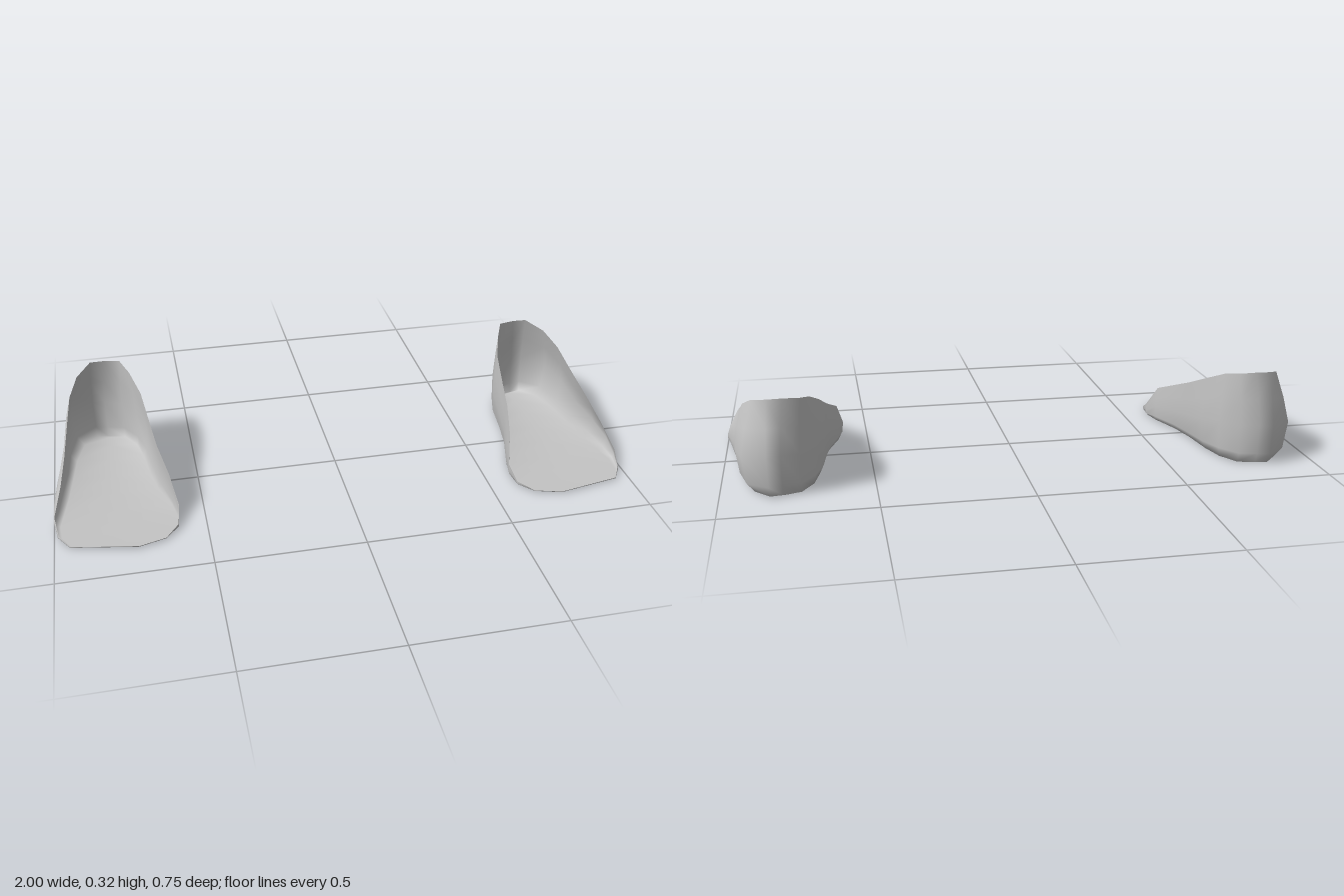
import * as THREE from 'three';

// Columns around the left shoe: [rimX, rimY, rimZ, bulgeX, bulgeZ, soleX, soleZ]
const innerSide = [
  [0.73, 0.007, 0.372, 0.73, 0.371, 0.73, 0.366], // toe tip
  [0.64, 0.007, 0.345, 0.64, 0.344, 0.645, 0.339],
  [0.595, 0.015, 0.29, 0.595, 0.29, 0.60, 0.288],
  [0.585, 0.045, 0.225, 0.587, 0.225, 0.592, 0.225],
  [0.607, 0.13, 0.155, 0.60, 0.155, 0.605, 0.155],
  [0.635, 0.175, 0.04, 0.63, 0.04, 0.645, 0.04],
  [0.65, 0.213, -0.06, 0.645, -0.06, 0.665, -0.06],
  [0.668, 0.263, -0.18, 0.66, -0.18, 0.68, -0.18],
  [0.70, 0.303, -0.27, 0.69, -0.27, 0.70, -0.265],
  [0.73, 0.32, -0.335, 0.74, -0.345, 0.74, -0.33],
];
const outerSide = [
  [0.785, 0.323, -0.342, 0.80, -0.362, 0.80, -0.346], // heel
  [0.835, 0.322, -0.342, 0.845, -0.373, 0.84, -0.353],
  [0.885, 0.303, -0.275, 0.925, -0.315, 0.89, -0.30],
  [0.915, 0.268, -0.195, 0.95, -0.20, 0.92, -0.19],
  [0.932, 0.215, -0.07, 0.958, -0.08, 0.935, -0.07],
  [0.945, 0.175, 0.04, 0.98, 0.04, 0.95, 0.04],
  [0.965, 0.12, 0.14, 0.995, 0.14, 0.968, 0.14],
  [0.995, 0.045, 0.21, 1.0, 0.20, 0.98, 0.205],
  [0.985, 0.012, 0.27, 0.988, 0.27, 0.975, 0.27],
  [0.95, 0.007, 0.33, 0.95, 0.33, 0.945, 0.325],
];

function shoeGeometry() {
  const columns = [...innerSide, ...outerSide];
  const n = columns.length, half = n / 2, rows = 5, floorY = 0.002;
  const pos = [], index = [];
  const lerp = THREE.MathUtils.lerp;

  // Each column rises from the sole edge through the bulge to the open rim
  for (const [rx, ry, rz, bx, bz, sx, sz] of columns) {
    const by = Math.max(floorY + 0.002, ry * 0.43);
    pos.push(
      sx, floorY, sz,
      lerp(sx, bx, 0.65), lerp(floorY, by, 0.25), lerp(sz, bz, 0.65),
      bx, by, bz,
      lerp(bx, rx, 0.42), lerp(by, ry, 0.5), lerp(bz, rz, 0.42),
      rx, ry, rz,
    );
  }
  for (let i = 0; i < n; i++) {
    for (let r = 0; r < rows - 1; r++) {
      const a = i * rows + r, b = ((i + 1) % n) * rows + r;
      index.push(a, a + 1, b + 1, a, b + 1, b);
    }
  }

  // Sole: strips on both sides of a centre line from toe to heel
  const centre = [0];
  for (let i = 1; i < half; i++) {
    const a = columns[i], b = columns[n - i];
    centre.push(pos.length / 3);
    pos.push((a[5] + b[5]) / 2, floorY - 0.002, (a[6] + b[6]) / 2);
  }
  centre.push(half * rows);
  for (let i = 0; i < half; i++) {
    const a = i * rows, a2 = (i + 1) * rows;
    const b = ((n - i) % n) * rows, b2 = (n - i - 1) * rows;
    const c = centre[i], c2 = centre[i + 1];
    if (a2 !== c2) index.push(a, a2, c2);
    if (a !== c) index.push(a, c2, c);
    if (b2 !== c2) index.push(b, c2, b2);
    if (b !== c) index.push(b, c, c2);
  }

  const geometry = new THREE.BufferGeometry();
  geometry.setAttribute('position', new THREE.Float32BufferAttribute(pos, 3));
  geometry.setIndex(index);
  geometry.computeVertexNormals();
  return geometry;
}

export function createModel() {
  const group = new THREE.Group();
  group.name = 'pairOfShoes';
  const grey = new THREE.MeshStandardMaterial({ color: 0xc4c4c4, side: THREE.DoubleSide });
  grey.name = 'light grey';
  const geometry = shoeGeometry();
  for (const [name, side] of [['leftShoe', 1], ['rightShoe', -1]]) {
    const shoe = new THREE.Mesh(geometry, grey);
    shoe.name = name;
    shoe.scale.x = side;
    group.add(shoe);
  }
  return group;
}
